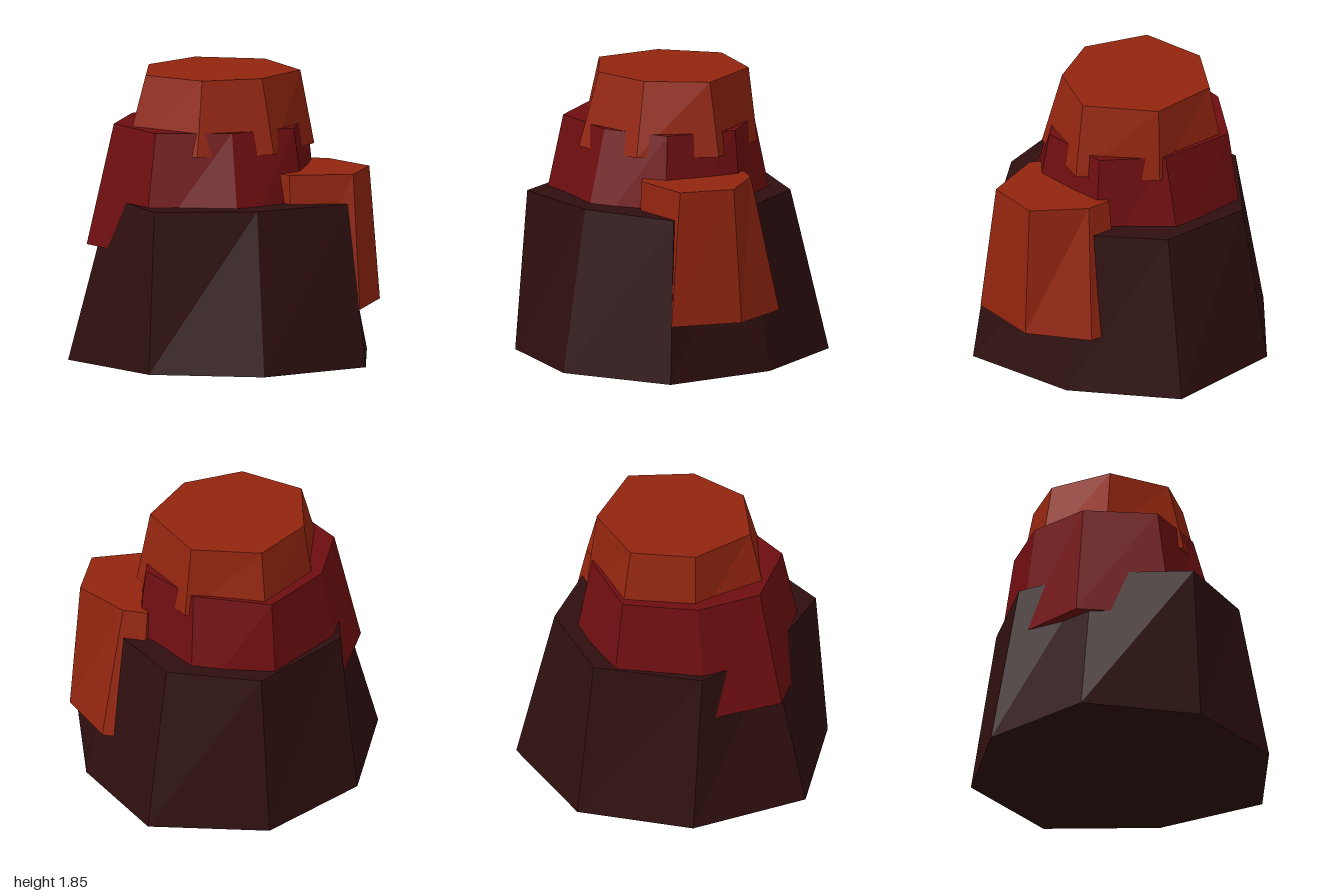
import * as THREE from 'three';

const mat = (name, color) => {
  const m = new THREE.MeshStandardMaterial({ color, flatShading: true });
  m.name = name;
  return m;
};

// Closed, faceted tier between two matching [x, z] outlines, listed clockwise from above
function tier(name, material, y0, lower, y1, upper) {
  const pos = [];
  const n = lower.length;
  const at = (ring, i, y) => [ring[i % n][0], y, ring[i % n][1]];
  const middle = (ring, y) => [
    ring.reduce((s, p) => s + p[0], 0) / n, y, ring.reduce((s, p) => s + p[1], 0) / n,
  ];
  const c0 = middle(lower, y0), c1 = middle(upper, y1);
  for (let i = 0; i < n; i++) {
    const a = at(lower, i, y0), b = at(lower, i + 1, y0);
    const c = at(upper, i, y1), d = at(upper, i + 1, y1);
    pos.push(...b, ...a, ...c, ...b, ...c, ...d); // side
    pos.push(...c1, ...d, ...c, ...c0, ...a, ...b); // caps
  }
  const g = new THREE.BufferGeometry();
  g.setAttribute('position', new THREE.Float32BufferAttribute(pos, 3));
  g.computeVertexNormals();
  const mesh = new THREE.Mesh(g, material);
  mesh.name = name;
  return mesh;
}

export function createModel() {
  const group = new THREE.Group();
  group.name = 'steppedRock';
  const dark = mat('dark rock', 0x2f0f0f);
  const red = mat('deep red rock', 0x6f0e10);
  const orange = mat('burnt orange rock', 0x92250f);

  // Wide eight-sided foot
  group.add(tier('baseRock', dark,
    0, [[0.07, -1], [0.8, -0.71], [0.98, 0.02], [0.8, 0.75], [0.07, 0.99], [-0.63, 0.72], [-1, 0.02], [-0.63, -0.68]],
    1.05, [[0.07, -0.83], [0.62, -0.54], [0.78, 0], [0.71, 0.63], [0.07, 0.79], [-0.58, 0.66], [-0.72, 0.02], [-0.57, -0.51]]));

  // Middle tier, sunk into the foot and bulging out of its -x side
  group.add(tier('middleRock', red,
    0.74, [[-0.05, -0.8], [0.47, -0.58], [0.68, -0.05], [0.49, 0.49], [-0.03, 0.73], [-0.62, 0.52], [-0.86, -0.05], [-0.59, -0.49]],
    1.52, [[-0.05, -0.68], [0.4, -0.43], [0.6, -0.05], [0.41, 0.38], [-0.03, 0.51], [-0.51, 0.4], [-0.68, -0.05], [-0.47, -0.43]]));

  // Seven-sided cap whose lower corners poke through the middle tier
  group.add(tier('topRock', orange,
    1.37, [[-0.02, -0.66], [0.45, -0.41], [0.61, 0.11], [0.25, 0.5], [-0.26, 0.51], [-0.63, 0.09], [-0.43, -0.4]],
    1.85, [[-0.02, -0.56], [0.4, -0.38], [0.52, 0.1], [0.2, 0.38], [-0.2, 0.39], [-0.5, 0.08], [-0.38, -0.34]]));

  // Ledge set into the +x side of the foot
  group.add(tier('sideLedge', orange,
    0.37, [[0.92, -0.13], [1, 0.3], [0.77, 0.71], [0.36, 0.6], [0.27, 0.42], [0.4, 0], [0.72, -0.26]],
    1.24, [[0.75, -0.04], [0.93, 0.3], [0.75, 0.61], [0.34, 0.55], [0.28, 0.47], [0.45, 0.05], [0.61, -0.12]]));

  return group;
}
